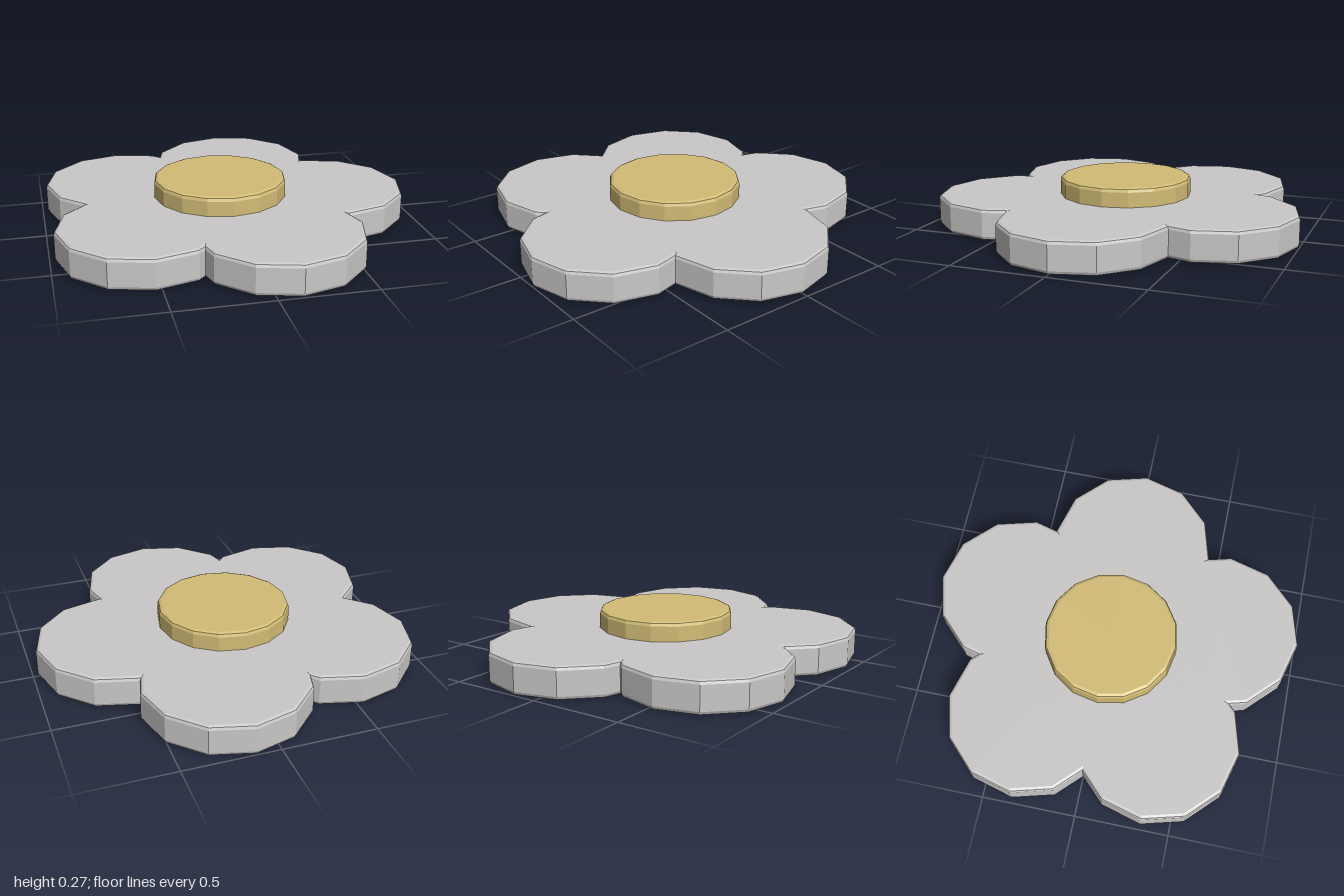
import * as THREE from 'three';

// Solid disc with softly bevelled rims, from y0 to y1
function bevelledDisc(radius, y0, y1, bevel, sides) {
  const k = bevel * 0.293; // mid-point of the rounded rim
  const profile = [
    [0, y0], [radius - bevel, y0], [radius - k, y0 + k], [radius, y0 + bevel],
    [radius, y1 - bevel], [radius - k, y1 - k], [radius - bevel, y1], [0, y1],
  ].map(([x, y]) => new THREE.Vector2(x, y));
  return new THREE.LatheGeometry(profile, sides);
}

export function createModel() {
  const petalGrey = new THREE.MeshStandardMaterial({ color: 0xcac8c7, flatShading: true });
  petalGrey.name = 'petal grey';
  const centreGold = new THREE.MeshStandardMaterial({ color: 0xd2bc76, flatShading: true });
  centreGold.name = 'centre gold';

  const flower = new THREE.Group();
  flower.name = 'flower';
  const centreX = -0.056;

  // Five overlapping petals in a ring, leaving a small gap in the middle
  const petalGeometry = bevelledDisc(0.44, 0, 0.168, 0.02, 12);
  for (let i = 0; i < 5; i++) {
    const angle = (i * Math.PI * 2) / 5;
    const petal = new THREE.Mesh(petalGeometry, petalGrey);
    petal.name = `petal${i + 1}`;
    petal.position.set(centreX + 0.589 * Math.cos(angle), 0, 0.589 * Math.sin(angle));
    flower.add(petal);
  }

  // Raised centre, sunk into the petals
  const centre = new THREE.Mesh(bevelledDisc(0.358, 0.09, 0.27, 0.022, 16), centreGold);
  centre.name = 'flowerCentre';
  centre.position.x = centreX;
  flower.add(centre);

  return flower;
}
